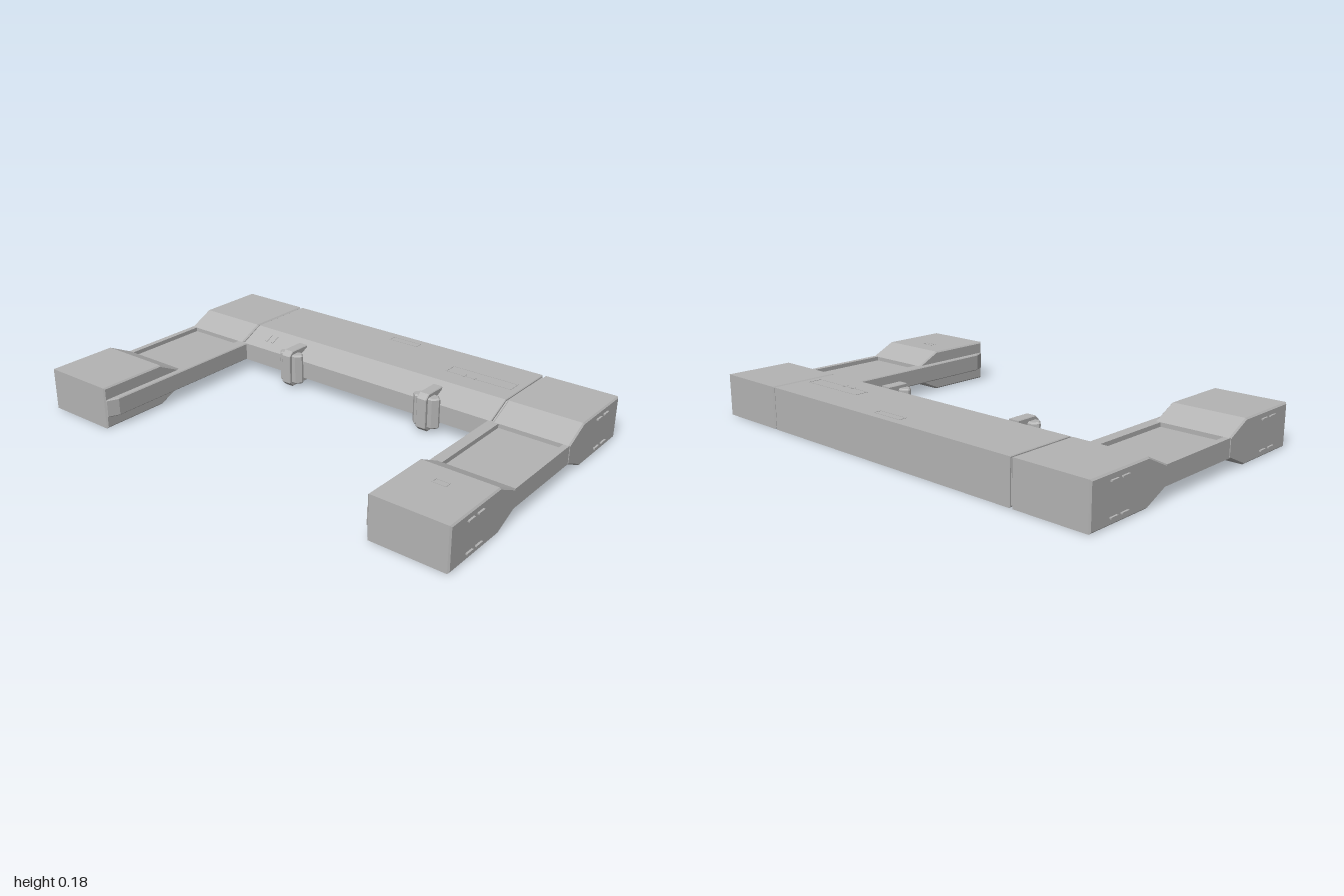
import * as THREE from 'three';

const gray = new THREE.MeshStandardMaterial({ color: 0xb4b4b4 });
gray.name = 'plain gray';

const Y0 = 0.012, Y1 = 0.193;      // full body height
const N0 = 0.062, N1 = 0.14;       // narrow waist height

function add(parent, name, geometry, x = 0, y = 0, z = 0) {
  const mesh = new THREE.Mesh(geometry, gray);
  mesh.name = name;
  mesh.position.set(x, y, z);
  parent.add(mesh);
  return mesh;
}

// box given by its limits
function box(parent, name, x0, x1, y0, y1, z0, z1) {
  return add(parent, name, new THREE.BoxGeometry(x1 - x0, y1 - y0, z1 - z0),
    (x0 + x1) / 2, (y0 + y1) / 2, (z0 + z1) / 2);
}

// side profile of [z, y] points, extruded from x0 to x1
function alongX(points, x0, x1, bevel = 0) {
  const shape = new THREE.Shape(points.map(([z, y]) => new THREE.Vector2(-z, y)));
  const g = new THREE.ExtrudeGeometry(shape, {
    depth: x1 - x0 - 2 * bevel, bevelEnabled: bevel > 0,
    bevelSize: bevel, bevelOffset: -bevel, bevelThickness: bevel, bevelSegments: 1,
  });
  g.translate(0, 0, x0 + bevel);
  return g.rotateY(Math.PI / 2);
}

// plan outline of [x, z] points, extruded from y0 to y1
function alongY(points, y0, y1, bevel = 0) {
  const shape = new THREE.Shape(points.map(([x, z]) => new THREE.Vector2(x, -z)));
  const g = new THREE.ExtrudeGeometry(shape, {
    depth: y1 - y0 - 2 * bevel, bevelEnabled: bevel > 0,
    bevelSize: bevel, bevelOffset: -bevel, bevelThickness: bevel, bevelSegments: 1,
  });
  g.translate(0, 0, y0 + bevel);
  return g.rotateX(-Math.PI / 2);
}

// tapered block profile; s = -1 at the back, 1 at the front; inset shrinks it
function blockProfile(s, inset = 0) {
  const i = inset;
  return [
    [s * (0.618 - i), Y0 + i], [s * (0.618 - i), Y1 - i], [s * (0.31 + i / 2), Y1 - i],
    [s * (0.2 + i), N1 - i], [s * (0.2 + i), N0 + i], [s * (0.31 + i / 2), Y0 + i],
  ];
}

// thin raised rectangular frame lying on the top or bottom face
function flatFrame(parent, name, x, z, w, d, top) {
  const t = 0.004, shape = new THREE.Shape(), hole = new THREE.Path();
  const rect = (p, a, b) => p.moveTo(-a, -b).lineTo(a, -b).lineTo(a, b).lineTo(-a, b).closePath();
  rect(shape, w / 2, d / 2);
  rect(hole, w / 2 - t, d / 2 - t);
  shape.holes.push(hole);
  const g = new THREE.ExtrudeGeometry(shape, { depth: 0.002, bevelEnabled: false });
  g.rotateX(-Math.PI / 2);
  add(parent, name, g, x, top ? Y1 - 0.0005 : Y0 - 0.0015, z);
}

// one side arm; side is 1 for left (+x), -1 for right
function buildArm(side) {
  const arm = new THREE.Group();
  arm.name = side > 0 ? 'leftArm' : 'rightArm';
  const span = (a, b) => (side > 0 ? [a, b] : [-b, -a]);

  add(arm, 'cornerBlock', alongX(blockProfile(-1), ...span(0.664, 0.992), 0.006));
  add(arm, 'frontBlock', alongX(blockProfile(1), ...span(0.664, 0.992), 0.006));

  // waist: two rails with a recessed panel between them
  box(arm, 'outerRail', ...span(0.965, 0.99), N0, N1, -0.215, 0.215);
  box(arm, 'innerRail', ...span(0.664, 0.69), N0, N1, -0.215, 0.215);
  box(arm, 'recessedPanel', ...span(0.68, 0.975), 0.08, 0.122, -0.25, 0.25);

  // guide strip on the inside, tapered at the front end
  const strip = [[0.668, -0.21], [0.64, -0.21], [0.64, 0.565], [0.66, 0.612], [0.668, 0.612]]
    .map(([x, z]) => [side * x, z]);
  add(arm, 'guideStrip', alongY(strip, N0, N1, 0.004));

  // small tabs on the outer face
  for (const s of [-1, 1]) for (const z of [0.44, 0.5]) for (const y of [0.04, 0.165]) {
    box(arm, 'sideTab', ...span(0.988, 1), y - 0.003, y + 0.003, s * z - 0.019, s * z + 0.019);
  }
  return arm;
}

// clamp that grips the front edge of the beam
function buildClamp(x) {
  const clamp = new THREE.Group();
  clamp.name = 'clamp';
  const clip = [[-0.275, 0.185], [-0.175, 0.185], [-0.153, 0.165], [-0.153, 0.038],
    [-0.175, 0.018], [-0.275, 0.018]];
  add(clamp, 'clip', alongX(clip, -0.023, 0.023, 0.003));
  const wing = [[-0.062, -0.2], [-0.042, -0.22], [0.042, -0.22], [0.062, -0.2],
    [0.062, -0.19], [0.042, -0.168], [-0.042, -0.168], [-0.062, -0.19]];
  add(clamp, 'wings', alongY(wing, 0.035, 0.17, 0.006));
  clamp.position.x = x;
  return clamp;
}

export function createModel() {
  const model = new THREE.Group();
  model.name = 'frame';

  // rear beam, with a slimmer core bridging the seams to the corners
  add(model, 'beam', alongX(blockProfile(-1), -0.656, 0.656, 0.003));
  add(model, 'seamCore', alongX(blockProfile(-1, 0.008), -0.68, 0.68));

  for (const side of [-1, 1]) {
    model.add(buildArm(side));
    model.add(buildClamp(side * 0.36));
  }

  // flat markings on both faces of the beam
  for (const top of [true, false]) {
    flatFrame(model, 'beamPlate', -0.005, -0.565, 0.146, 0.038, top);
    flatFrame(model, 'markerPlate', 0.47, -0.435, 0.31, 0.065, top);
    for (const x of [0.405, 0.455]) {
      const y = top ? Y1 : Y0;
      box(model, 'markerTick', x - 0.003, x + 0.003, y - 0.002, y + 0.002, -0.42, -0.395);
    }
  }
  flatFrame(model, 'blockPlate', 0.816, 0.406, 0.06, 0.03, true);

  // two small keys on the front slope
  for (const x of [-0.555, -0.52]) {
    const key = add(model, 'slopeKey', new THREE.BoxGeometry(0.015, 0.005, 0.042), x, 0.1685, -0.26);
    key.rotation.x = Math.atan2(Y1 - N1, 0.11);
  }
  return model;
}
